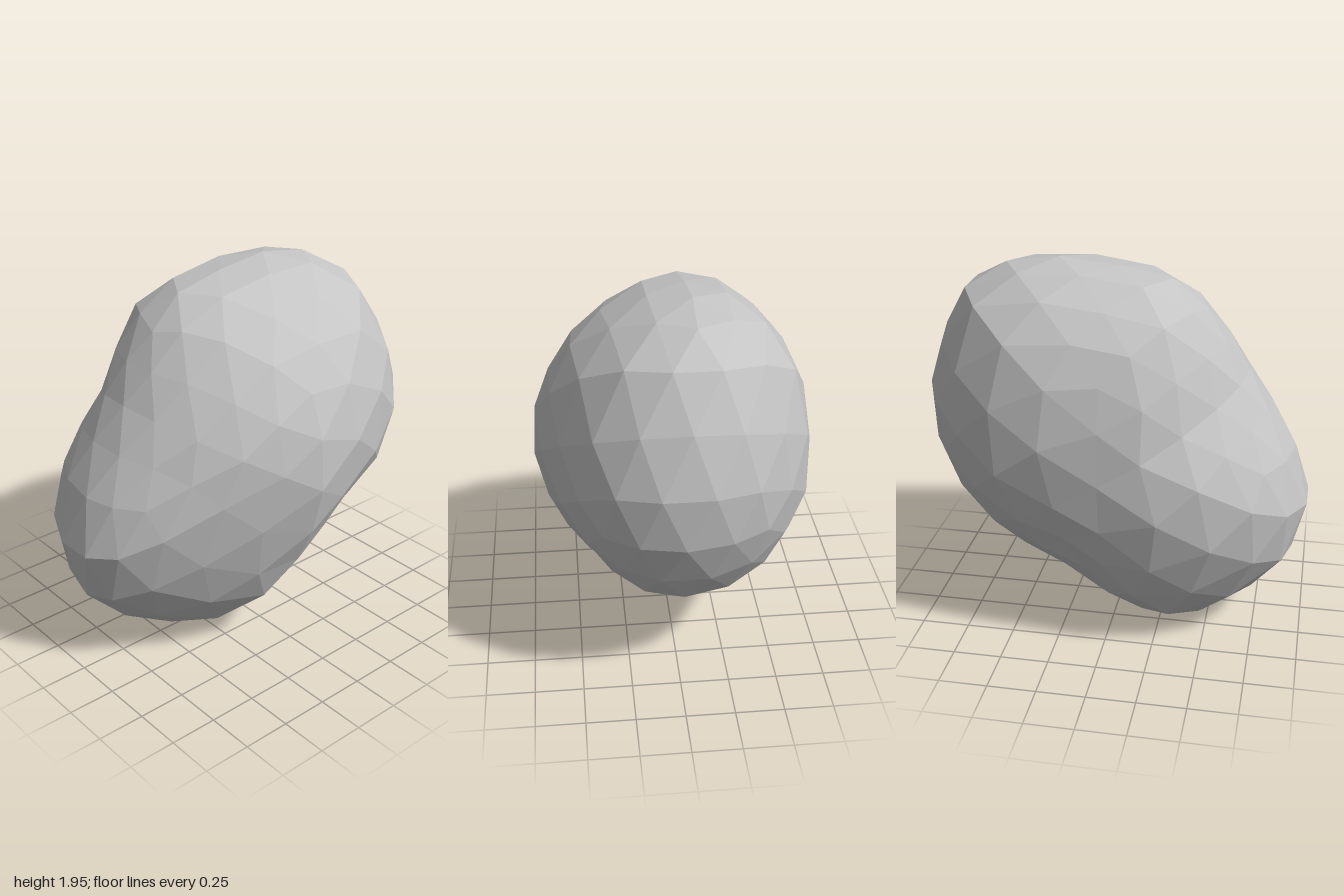
import * as THREE from 'three';

// Outline of the boulder seen from the front, anticlockwise from the right
const outline = [
  [1.01, 1.23], [0.94, 1.47], [0.87, 1.68], [0.71, 1.85], [0.46, 1.92], [0.02, 1.905],
  [-0.27, 1.85], [-0.38, 1.77], [-0.5, 1.63], [-0.6, 1.48], [-0.7, 1.31], [-0.8, 1.17],
  [-0.92, 0.97], [-1.01, 0.76], [-0.99, 0.51], [-0.88, 0.31], [-0.71, 0.17], [-0.5, 0.04],
  [-0.28, -0.02], [-0.04, 0.07], [0.22, 0.25], [0.5, 0.37], [0.75, 0.54], [0.92, 0.8], [1, 1.02],
];
const CENTRE_Y = 0.97;
const TAU = Math.PI * 2;

// Outline as a radius for each angle around the centre
const polar = outline
  .map(([x, y]) => [(Math.atan2(y - CENTRE_Y, x) + TAU) % TAU, Math.hypot(x, y - CENTRE_Y)])
  .sort((a, b) => a[0] - b[0]);

function outlineRadius(angle) {
  const a = (angle + TAU) % TAU;
  const n = polar.length;
  let i = polar.findIndex((p) => p[0] > a);
  if (i < 0) i = n;
  const [a0, r0] = i > 0 ? polar[i - 1] : [polar[n - 1][0] - TAU, polar[n - 1][1]];
  const [a1, r1] = i < n ? polar[i] : [polar[0][0] + TAU, polar[0][1]];
  return r0 + (r1 - r0) * (a - a0) / (a1 - a0);
}

const bump = (d, width) => Math.exp(-((d / width) ** 2));

// Moves a point of the unit sphere onto the boulder
function shape(d) {
  const angle = Math.atan2(d.y, d.x);
  const r = outlineRadius(angle) * Math.hypot(d.x, d.y);
  const x = r * Math.cos(angle);
  const y = r * Math.sin(angle);
  const near = (cx, cy, width) => d.z * bump(Math.hypot(x - cx, y - cy), width);
  let z = 0.7 * d.z;
  if (z > 0) {
    // front: a peak in the middle, thinner towards the low lobe
    z *= (1 + 0.16 * x + 0.1 * y) * (0.9 + 0.1 * bump(x, 0.3));
    // hollow under the overhang, fuller upper shoulder and foot
    z += -0.1 * near(0.45, -0.38, 0.28) + 0.09 * near(-0.48, 0.32, 0.28) + 0.12 * near(-0.3, -0.8, 0.25);
  } else {
    // back: broad and nearly flat, with a slight dip at the waist and a thinner base
    z *= 1.1 - 0.08 * bump(x, 0.35) - 0.04 * bump((x + y) * 0.7, 0.25) + 0.08 * Math.min(y, 0);
    // dent in the sloping shoulder
    z -= 0.1 * near(-0.55, 0.35, 0.22);
  }
  z -= 0.1 * y * y;
  d.set(x, y + CENTRE_Y, z);
}

export function createModel() {
  const group = new THREE.Group();
  group.name = 'boulder';

  const stone = new THREE.MeshStandardMaterial({ color: 0xc4c4c4, flatShading: true });
  stone.name = 'grey stone';

  const geometry = new THREE.IcosahedronGeometry(1, 3);
  const position = geometry.attributes.position;
  const p = new THREE.Vector3();
  for (let i = 0; i < position.count; i++) {
    p.fromBufferAttribute(position, i).normalize();
    shape(p);
    position.setXYZ(i, p.x, p.y, p.z);
  }

  // Stand it on the ground
  geometry.computeBoundingBox();
  geometry.translate(0, -geometry.boundingBox.min.y, 0);
  geometry.computeVertexNormals();

  const rock = new THREE.Mesh(geometry, stone);
  rock.name = 'rock';
  group.add(rock);
  return group;
}
